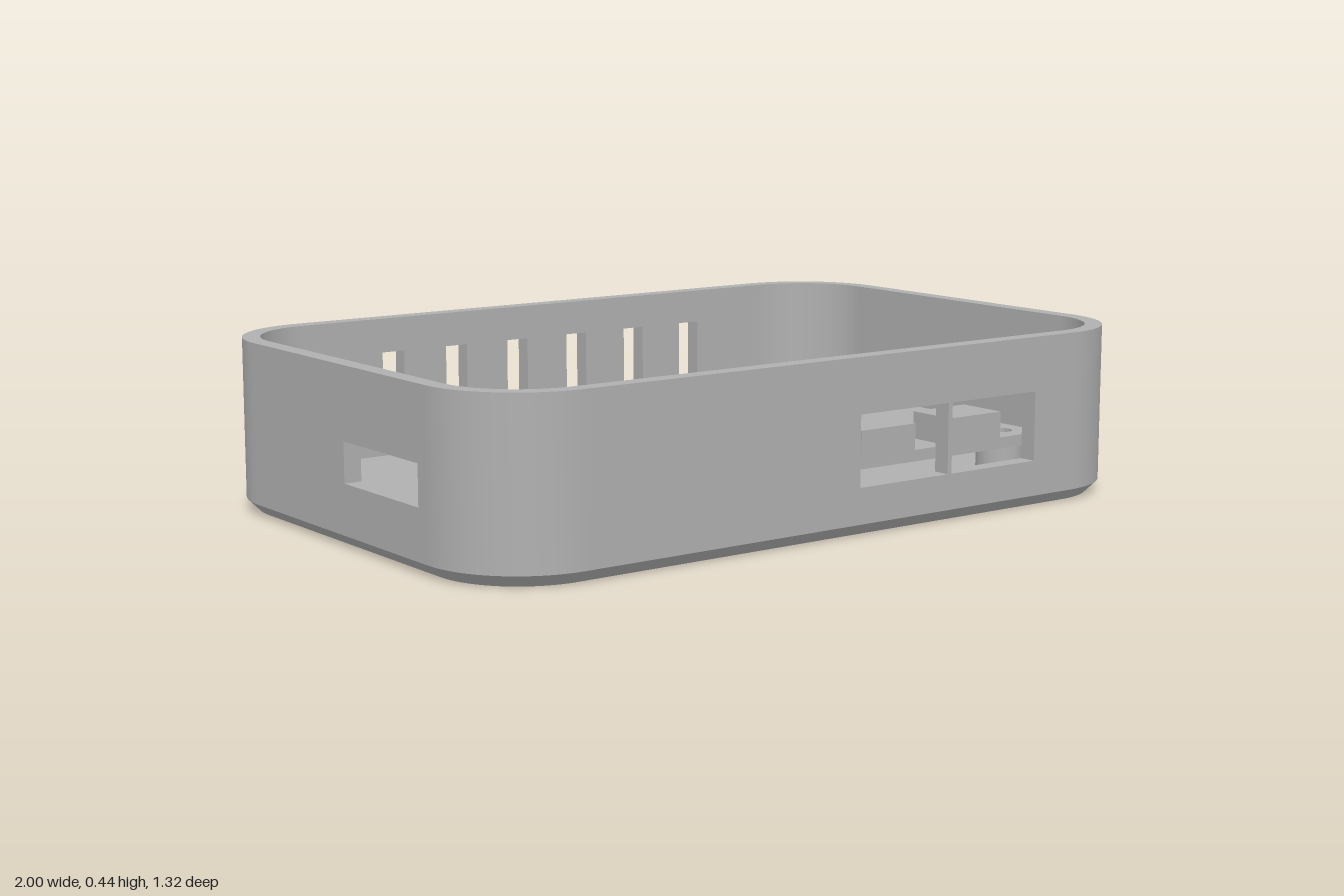
import * as THREE from 'three';
import { toCreasedNormals } from 'three/addons/utils/BufferGeometryUtils.js';

const W = 1, D = 0.66, H = 0.435;            // half width, half depth, height
const R = 0.25, T = 0.045, C = 0.03;         // corner radius, wall, bottom chamfer
const FLOOR = 0.068, BOARD0 = 0.145, BOARD1 = 0.174;

// Plans are drawn in (x, z)
function roundedRect(x0, x1, z0, z1, r, Type = THREE.Shape) {
  const s = new Type();
  s.absarc(x1 - r, z1 - r, r, 0, Math.PI / 2, false);
  s.absarc(x0 + r, z1 - r, r, Math.PI / 2, Math.PI, false);
  s.absarc(x0 + r, z0 + r, r, Math.PI, Math.PI * 1.5, false);
  s.absarc(x1 - r, z0 + r, r, Math.PI * 1.5, Math.PI * 2, false);
  s.closePath();
  return s;
}

function rect(x0, x1, y0, y1, Type = THREE.Path) {
  return new Type([[x0, y0], [x1, y0], [x1, y1], [x0, y1]].map(p => new THREE.Vector2(...p)));
}

function circle(x, z, r, Type = THREE.Path) {
  const c = new Type();
  c.absarc(x, z, r, 0, Math.PI * 2, false);
  return c;
}

// Round head with a narrow neck running towards the front
function keyhole(x) {
  const r = 0.09, n = 0.037, z = -0.097, a = Math.acos(n / r);
  const p = new THREE.Path();
  p.absarc(x, z, r, Math.PI - a, Math.PI * 2 + a, false);
  p.lineTo(x + n, 0.115);
  p.lineTo(x - n, 0.115);
  p.closePath();
  return p;
}

// Horizontal slab between two heights
function slab(shape, y0, y1) {
  const g = new THREE.ExtrudeGeometry(shape, { depth: y1 - y0, bevelEnabled: false, curveSegments: 16 });
  g.rotateX(Math.PI / 2).translate(0, y1, 0);
  return toCreasedNormals(g, 0.5);
}

// Flat horizontal face
function face(shape, y) {
  return new THREE.ShapeGeometry(shape, 16).rotateX(Math.PI / 2).translate(0, y, 0);
}

// Open band joining two outlines with equal point counts
function band(a, ya, b, yb) {
  const A = a.getPoints(16), B = b.getPoints(16), pos = [];
  for (let i = 0; i < A.length; i++) {
    const j = (i + 1) % A.length;
    const p = [A[i].x, ya, A[i].y], q = [A[j].x, ya, A[j].y];
    const u = [B[i].x, yb, B[i].y], v = [B[j].x, yb, B[j].y];
    if (A[i].distanceTo(A[j]) < 1e-6) continue;
    pos.push(...p, ...u, ...q, ...q, ...u, ...v);
  }
  const g = new THREE.BufferGeometry();
  g.setAttribute('position', new THREE.Float32BufferAttribute(pos, 3));
  return toCreasedNormals(g, 0.5);
}

export function createModel() {
  const model = new THREE.Group();
  model.name = 'electronicsEnclosure';
  const mat = new THREE.MeshStandardMaterial({ color: 0xb0b0b0, side: THREE.DoubleSide });
  mat.name = 'grey plastic';
  const add = (name, geo, parent = model) => {
    const m = new THREE.Mesh(geo, mat);
    m.name = name;
    parent.add(m);
    return m;
  };
  const group = name => {
    const g = new THREE.Group();
    g.name = name;
    model.add(g);
    return g;
  };

  // Straight walls with their openings
  const walls = group('walls');
  const panel = (name, half, holes) => {
    const s = rect(-half, half, C, H, THREE.Shape);
    s.holes = holes;
    return add(name, new THREE.ExtrudeGeometry(s, { depth: T, bevelEnabled: false }), walls);
  };
  panel('frontWall', W - R, [rect(0.043, 0.324, 0.12, 0.297), rect(0.337, 0.618, 0.12, 0.297)])
    .position.z = D - T;
  const slots = [];
  for (let i = 0; i < 6; i++) {
    const x = (i - 2.5) * 0.195;
    slots.push(rect(x - 0.033, x + 0.033, 0.14, 0.345));
  }
  panel('backWall', W - R, slots).position.z = -D;
  const left = panel('leftWall', D - R, []);
  left.rotation.y = Math.PI / 2;
  left.position.x = W - T;
  const right = panel('rightWall', D - R, [rect(-0.37, -0.035, 0.155, 0.255)]);
  right.rotation.y = Math.PI / 2;
  right.position.x = -W;

  // Rounded corners of the wall
  [[1, 1], [-1, 1], [-1, -1], [1, -1]].forEach(([sx, sz], k) => {
    const a = k * Math.PI / 2, b = a + Math.PI / 2, s = new THREE.Shape();
    s.absarc(sx * (W - R), sz * (D - R), R, a, b, false);
    s.absarc(sx * (W - R), sz * (D - R), R - T, b, a, true);
    add('cornerWall', slab(s, C, H), walls);
  });

  // Floor: chamfered edge, pierced underside and inner face
  const floor = group('floor');
  const outer = roundedRect(-W, W, -D, D, R);
  const under = roundedRect(-W + C, W - C, -D + C, D - C, R - C);
  const keyholes = [keyhole(-0.455), keyhole(0.455)];
  const feet = [];
  for (const x of [-0.685, 0.685]) for (const z of [-0.385, 0.385]) feet.push([x, z]);
  const label = [-0.31, 0.31, -0.265, 0.365];
  under.holes = [...keyholes, ...feet.map(([x, z]) => circle(x, z, 0.103)), rect(...label)];
  add('chamfer', band(under, 0, outer, C), floor);
  add('underside', face(under, 0), floor);
  const inside = roundedRect(-W + T, W - T, -D + T, D - T, R - T);
  inside.holes = keyholes;
  add('innerFloor', face(inside, FLOOR), floor);
  for (const k of keyholes) add('keyholeRim', band(k, 0, k, FLOOR), floor);

  // Shallow recesses in the underside
  for (const [x, z] of feet) {
    const c = circle(x, z, 0.103, THREE.Shape);
    add('footRecessRim', band(c, 0, c, 0.03), floor);
    add('footRecess', face(c, 0.03), floor);
  }
  const plate = rect(...label, THREE.Shape);
  add('labelRecessRim', band(plate, 0, plate, 0.01), floor);
  add('labelRecess', face(plate, 0.01), floor);

  // Circuit board on four hollow standoffs
  const electronics = group('circuitBoardAssembly');
  const board = roundedRect(-0.755, 0.72, -0.095, 0.585, 0.07);
  for (const x of [-0.672, 0.645]) for (const z of [-0.017, 0.507]) {
    board.holes.push(circle(x, z, 0.032));
    const post = circle(x, z, 0.06, THREE.Shape);
    post.holes.push(circle(x, z, 0.026));
    add('standoff', slab(post, FLOOR, BOARD0), electronics);
  }
  add('circuitBoard', slab(board, BOARD0, BOARD1), electronics);

  // Chips and connectors: x0, x1, z0, z1, top
  const parts = [
    ['processor', -0.25, 0.087, 0.042, 0.383, 0.204],
    ['cardSocket', -0.73, -0.458, 0.066, 0.336, 0.195],
    ['videoConnector', -0.6, -0.346, 0.463, 0.597, 0.25],
    ['dataConnector', 0.1, 0.273, 0.463, 0.597, 0.243],
    ['powerConnector', 0.388, 0.56, 0.463, 0.597, 0.243],
  ];
  for (const [name, x0, x1, z0, z1, top] of parts) {
    const g = new THREE.BoxGeometry(x1 - x0, top - BOARD1, z1 - z0);
    add(name, g.translate((x0 + x1) / 2, (top + BOARD1) / 2, (z0 + z1) / 2), electronics);
  }
  return model;
}
